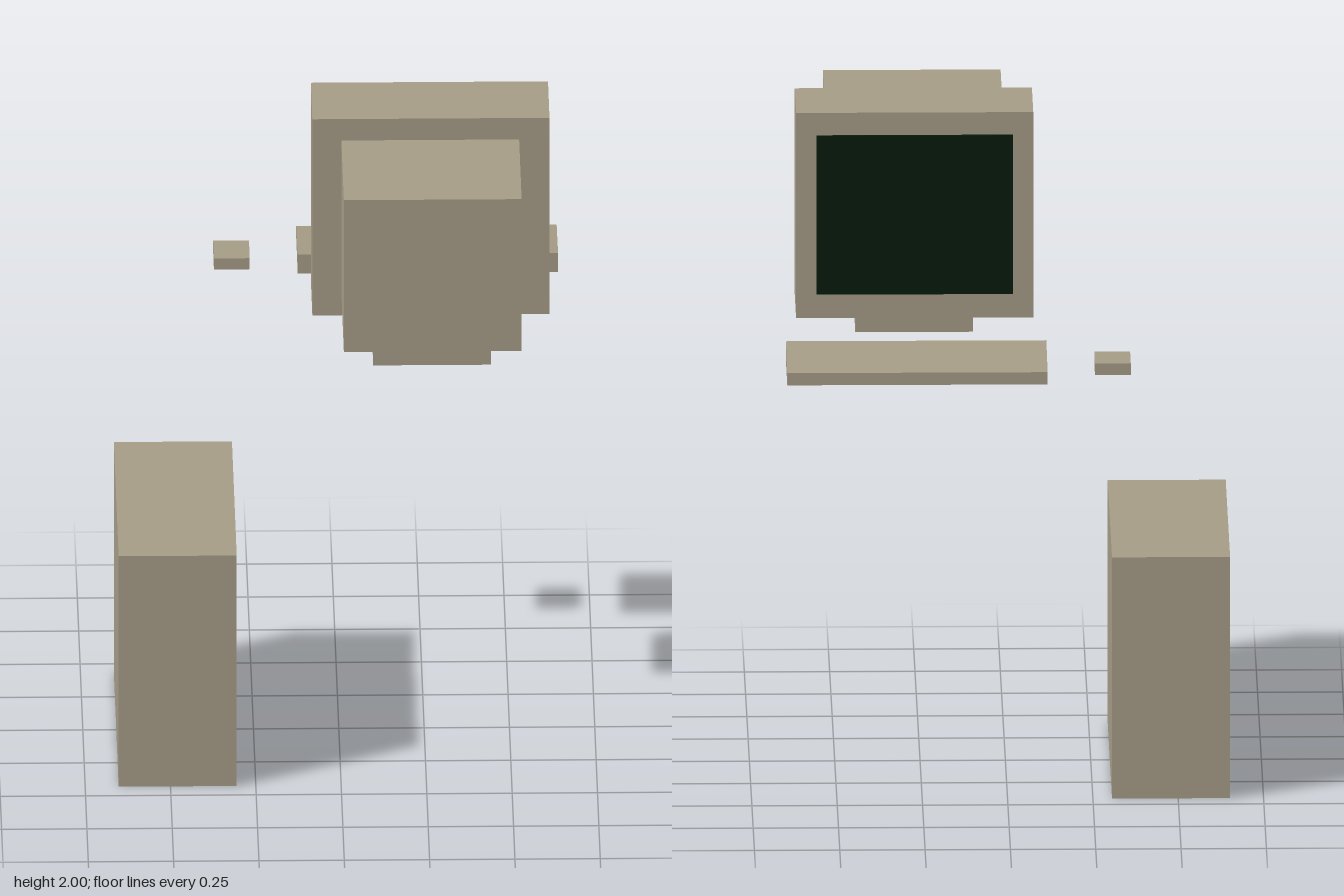
import * as THREE from 'three';

const casing = new THREE.MeshStandardMaterial({ color: 0xa59c86 });
casing.name = 'beige casing';
const glass = new THREE.MeshStandardMaterial({ color: 0x061a0a });
glass.name = 'dark green screen';

// Box given by its extents along each axis
function block(name, [x0, x1], [y0, y1], [z0, z1], material = casing) {
  const geometry = new THREE.BoxGeometry(x1 - x0, y1 - y0, z1 - z0);
  const mesh = new THREE.Mesh(geometry, material);
  mesh.name = name;
  mesh.position.set((x0 + x1) / 2, (y0 + y1) / 2, (z0 + z1) / 2);
  return mesh;
}

// Wedge keyboard: side profile extruded along x
function makeKeyboard() {
  const x0 = -0.115, x1 = 0.648;
  const profile = new THREE.Shape([
    new THREE.Vector2(0.335, 1.305),
    new THREE.Vector2(0.608, 1.305),
    new THREE.Vector2(0.608, 1.342),
    new THREE.Vector2(0.335, 1.365),
  ]);
  const geometry = new THREE.ExtrudeGeometry(profile, { depth: x1 - x0, bevelEnabled: false });
  geometry.rotateY(Math.PI / 2); // profile x becomes -z, depth becomes +x
  geometry.translate(x0, 0, 0);
  const mesh = new THREE.Mesh(geometry, casing);
  mesh.name = 'keyboard';
  return mesh;
}

export function createModel() {
  const model = new THREE.Group();
  model.name = 'desktopComputer';

  // Monitor, with its screen towards -z
  const monitor = new THREE.Group();
  monitor.name = 'monitor';
  monitor.add(
    block('monitorFrame', [-0.08, 0.615], [1.377, 2], [-0.122, 0.155]),
    block('monitorBack', [0.005, 0.526], [1.45, 1.932], [0.155, 0.608]),
    block('screen', [-0.02, 0.555], [1.45, 1.932], [-0.129, -0.122], glass),
    block('monitorStand', [0.095, 0.44], [1.305, 1.377], [-0.015, 0.365]),
  );

  model.add(
    monitor,
    makeKeyboard(),
    block('mouse', [-0.36, -0.255], [1.305, 1.34], [-0.506, -0.37]),
    block('towerCase', [-0.652, -0.306], [0, 0.732], [-0.434, 0.432]),
  );
  return model;
}
